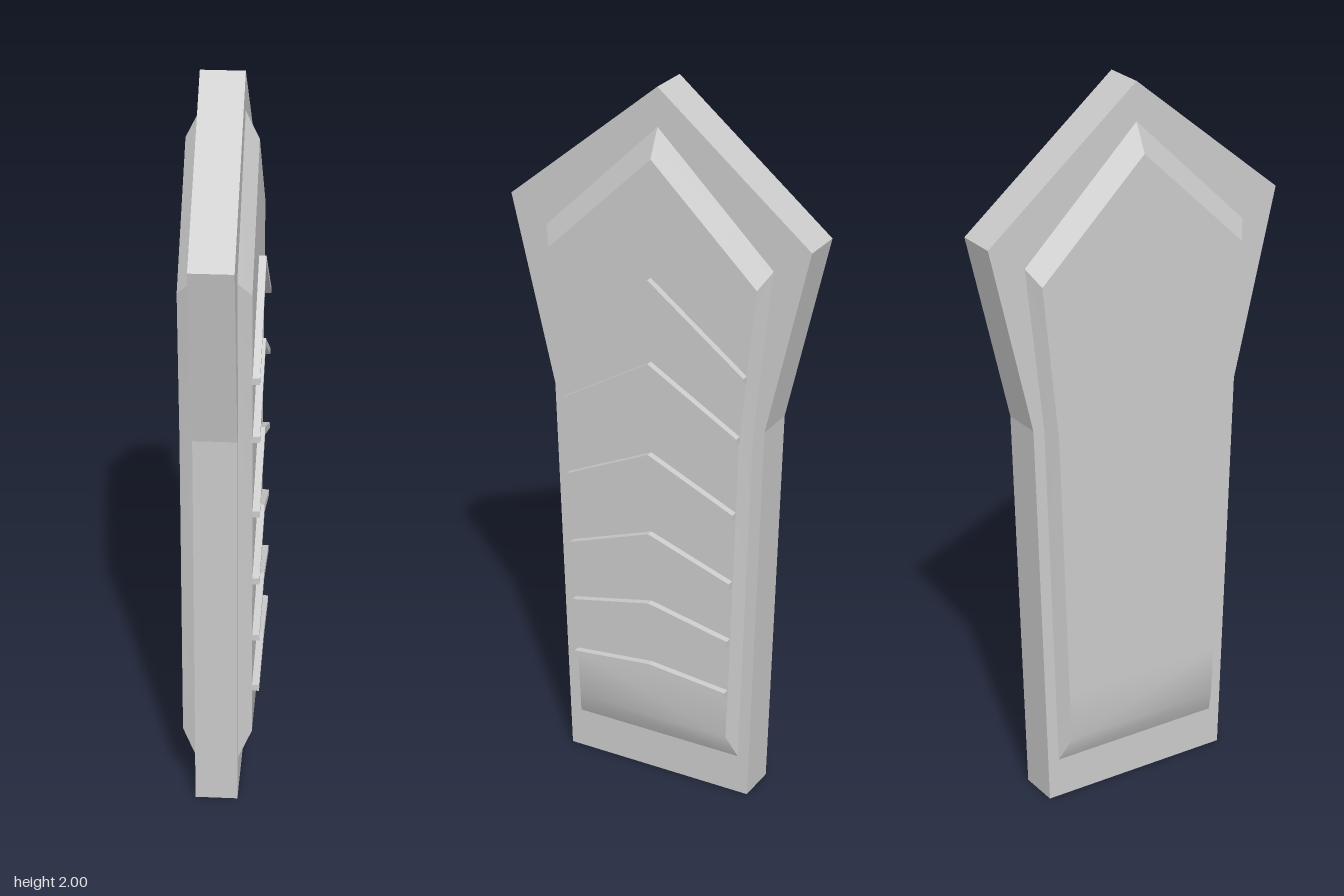
import * as THREE from 'three';
import { toCreasedNormals } from 'three/addons/utils/BufferGeometryUtils.js';

const material = new THREE.MeshStandardMaterial({ color: 0xcccccc });

// Extrude a (z, y) outline along x, from x0 to x1
function extrudeX(points, x0, x1) {
  const shape = new THREE.Shape(points.map(([z, y]) => new THREE.Vector2(z, y)));
  const geometry = new THREE.ExtrudeGeometry(shape, { depth: x1 - x0, bevelEnabled: false });
  return geometry.rotateY(Math.PI / 2).translate(x0, 0, 0);
}

// Rows of the raised panel, bottom to tip:
// [half width, y] of the bevel foot, then of the flat face
const rows = [
  [0.25, 0.115, 0.23, 0.19],
  [0.257, 0.33, 0.236, 0.33],
  [0.282, 1.11, 0.26, 1.09],
  [0.333, 1.57, 0.305, 1.525],
  [0, 1.895, 0, 1.82],
];

// Panel with bevelled rim, rising from x = foot to x = face on one side
function panelGeometry(foot, face) {
  const side = Math.sign(face);
  const positions = [];
  const tri = (a, b, c) => {
    if (a.equals(b) || b.equals(c) || a.equals(c)) return;
    for (const p of side > 0 ? [a, b, c] : [a, c, b]) positions.push(p.x, p.y, p.z);
  };
  const quad = (a, b, c, d) => { tri(a, b, c); tri(a, c, d); };
  const low = (i, s) => new THREE.Vector3(foot, rows[i][1], s * rows[i][0]);
  const high = (i, s) => new THREE.Vector3(face, rows[i][3], s * rows[i][2]);

  quad(low(0, -1), high(0, -1), high(0, 1), low(0, 1));
  for (let i = 0; i < rows.length - 1; i++) {
    const j = i + 1;
    quad(high(i, -1), high(j, -1), high(j, 1), high(i, 1));
    quad(low(i, -1), low(j, -1), high(j, -1), high(i, -1));
    quad(high(i, 1), high(j, 1), low(j, 1), low(i, 1));
  }
  const geometry = new THREE.BufferGeometry();
  geometry.setAttribute('position', new THREE.Float32BufferAttribute(positions, 3));
  return toCreasedNormals(geometry, 0.5);
}

export function createModel() {
  const group = new THREE.Group();
  const add = (name, geometry) => {
    const mesh = new THREE.Mesh(geometry, material);
    mesh.name = name;
    group.add(mesh);
  };

  // Pointed slab
  const half = [[0.28, 0], [0.315, 1.12], [0.438, 1.64]];
  const mirrored = half.map(([z, y]) => [-z, y]).reverse();
  add('slab', extrudeX([...half, [0, 2], ...mirrored], -0.068, 0.047));

  // Raised panels on both sides
  add('leftPanel', panelGeometry(0.047, 0.083));
  add('rightPanel', panelGeometry(-0.068, -0.105));

  // Chevron ribs on the left panel: [peak y, end y, half width]
  const ribs = [
    [1.5, 1.285, 0.28],
    [1.265, 1.11, 0.262],
    [1.003, 0.887, 0.253],
    [0.767, 0.68, 0.245],
    [0.555, 0.503, 0.24],
    [0.365, 0.341, 0.235],
  ];
  ribs.forEach(([peak, end, w], i) => {
    const t = 0.018;
    add(`rib${i + 1}`, extrudeX(
      [[w, end - t], [w, end], [0, peak], [-w, end], [-w, end - t], [0, peak - t - 0.004]], 0.075, 0.102));
  });

  return group;
}
